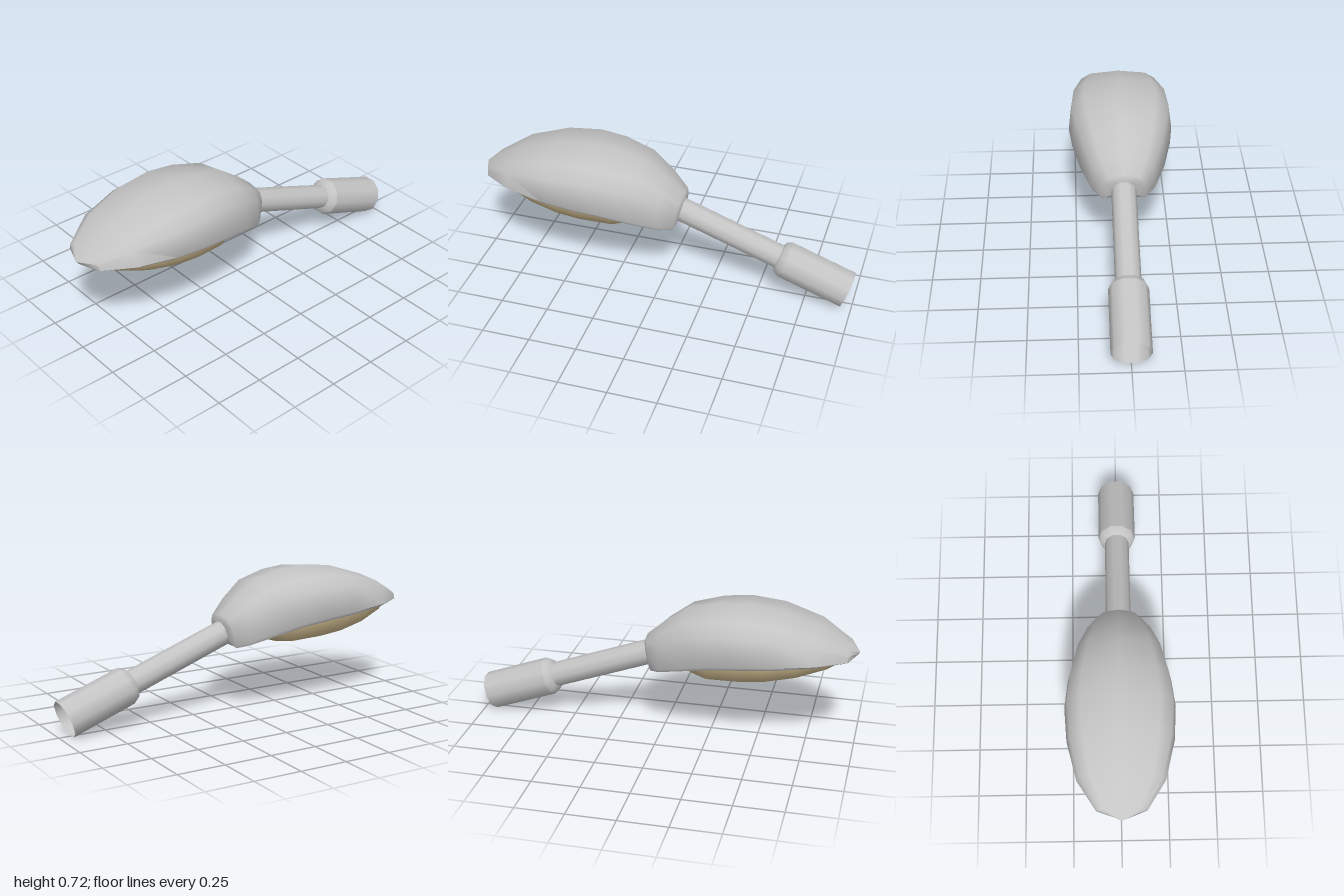
import * as THREE from 'three';
import { toCreasedNormals } from 'three/addons/utils/BufferGeometryUtils.js';

// Skin a mirrored half-section along z.
// station: [zTop, yTop, zBottom, yBottom, halfWidth]; half: [x fraction, height fraction] from bottom centre to top centre
function loft(stations, half, crease) {
  const ring = [...half, ...half.slice(1, -1).reverse().map(([x, t]) => [-x, t])];
  const n = ring.length;
  const pos = [];
  const index = [];
  for (const [zt, yt, zb, yb, w] of stations) {
    for (const [x, t] of ring) pos.push(x * w, yb + (yt - yb) * t, zb + (zt - zb) * t);
  }
  for (let i = 0; i < stations.length - 1; i++) {
    for (let j = 0; j < n; j++) {
      const k = (j + 1) % n;
      const a = i * n + j, b = i * n + k, c = b + n, d = a + n;
      index.push(a, b, c, a, c, d);
    }
  }
  // end caps
  const last = (stations.length - 1) * n;
  [[0, true], [last, false]].forEach(([base, back]) => {
    const [zt, yt, zb, yb] = stations[base / n];
    const centre = pos.length / 3;
    pos.push(0, (yt + yb) / 2, (zt + zb) / 2);
    for (let j = 0; j < n; j++) {
      const a = base + j, b = base + (j + 1) % n;
      if (back) index.push(centre, b, a);
      else index.push(centre, a, b);
    }
  });
  const g = new THREE.BufferGeometry();
  g.setAttribute('position', new THREE.Float32BufferAttribute(pos, 3));
  g.setIndex(index);
  return toCreasedNormals(g, crease);
}

// Ten-sided turned part with a flat underside
function turned(points) {
  const g = new THREE.LatheGeometry(points.map(([r, y]) => new THREE.Vector2(r, y)), 10, Math.PI / 10);
  return g;
}

export function createModel() {
  const metal = new THREE.MeshStandardMaterial({ color: 0xc4c4c4, side: THREE.DoubleSide });
  metal.name = 'grey metal';
  const amber = new THREE.MeshStandardMaterial({ color: 0xc8b48a, side: THREE.DoubleSide });
  amber.name = 'tan lens';

  const model = new THREE.Group();
  model.name = 'streetLampHead';
  const add = (parent, name, geometry, material) => {
    const mesh = new THREE.Mesh(geometry, material);
    mesh.name = name;
    parent.add(mesh);
  };

  // domed housing, from the pipe joint to the pointed nose
  add(model, 'housing', loft([
    [-0.098, 0.505, -0.072, 0.38, 0.085],
    [-0.088, 0.52, -0.055, 0.355, 0.115],
    [0.0, 0.595, 0.0, 0.375, 0.17],
    [0.12, 0.68, 0.12, 0.415, 0.222],
    [0.28, 0.717, 0.28, 0.455, 0.262],
    [0.42, 0.727, 0.42, 0.475, 0.279],
    [0.6, 0.708, 0.6, 0.488, 0.268],
    [0.8, 0.645, 0.8, 0.502, 0.22],
    [0.95, 0.555, 0.95, 0.506, 0.125],
    [1.0, 0.522, 0.99, 0.508, 0.01],
  ], [[0, 0.04], [0.85, 0.04], [0.94, 0], [1, 0.08], [0.93, 0.66], [0.7, 0.89], [0, 1]], 0.9), metal);

  // bowl lens under the housing
  add(model, 'lens', loft([
    [0.11, 0.43, 0.12, 0.4, 0.12],
    [0.15, 0.445, 0.165, 0.36, 0.175],
    [0.25, 0.465, 0.25, 0.333, 0.215],
    [0.42, 0.488, 0.42, 0.34, 0.239],
    [0.55, 0.495, 0.55, 0.355, 0.235],
    [0.7, 0.503, 0.7, 0.39, 0.208],
    [0.85, 0.51, 0.85, 0.445, 0.15],
    [0.95, 0.512, 0.95, 0.498, 0.06],
  ], [[0, 0], [0.78, 0.26], [0.99, 0.82], [0.99, 1], [0, 1]], 0.9), amber);

  // tilted mounting arm with an open socket at the back
  const arm = new THREE.Group();
  arm.name = 'mountingArm';
  arm.position.set(0, 0.0925, -0.967);
  arm.rotation.x = THREE.MathUtils.degToRad(70);
  add(arm, 'socket', turned([[0.1, 0], [0.1, 0.355]]), metal);
  add(arm, 'socketShoulder', turned([[0.1, 0.355], [0.088, 0.38], [0.064, 0.392]]), metal);
  add(arm, 'pipe', turned([[0.065, 0.385], [0.065, 1.0]]), metal);
  model.add(arm);

  return model;
}
